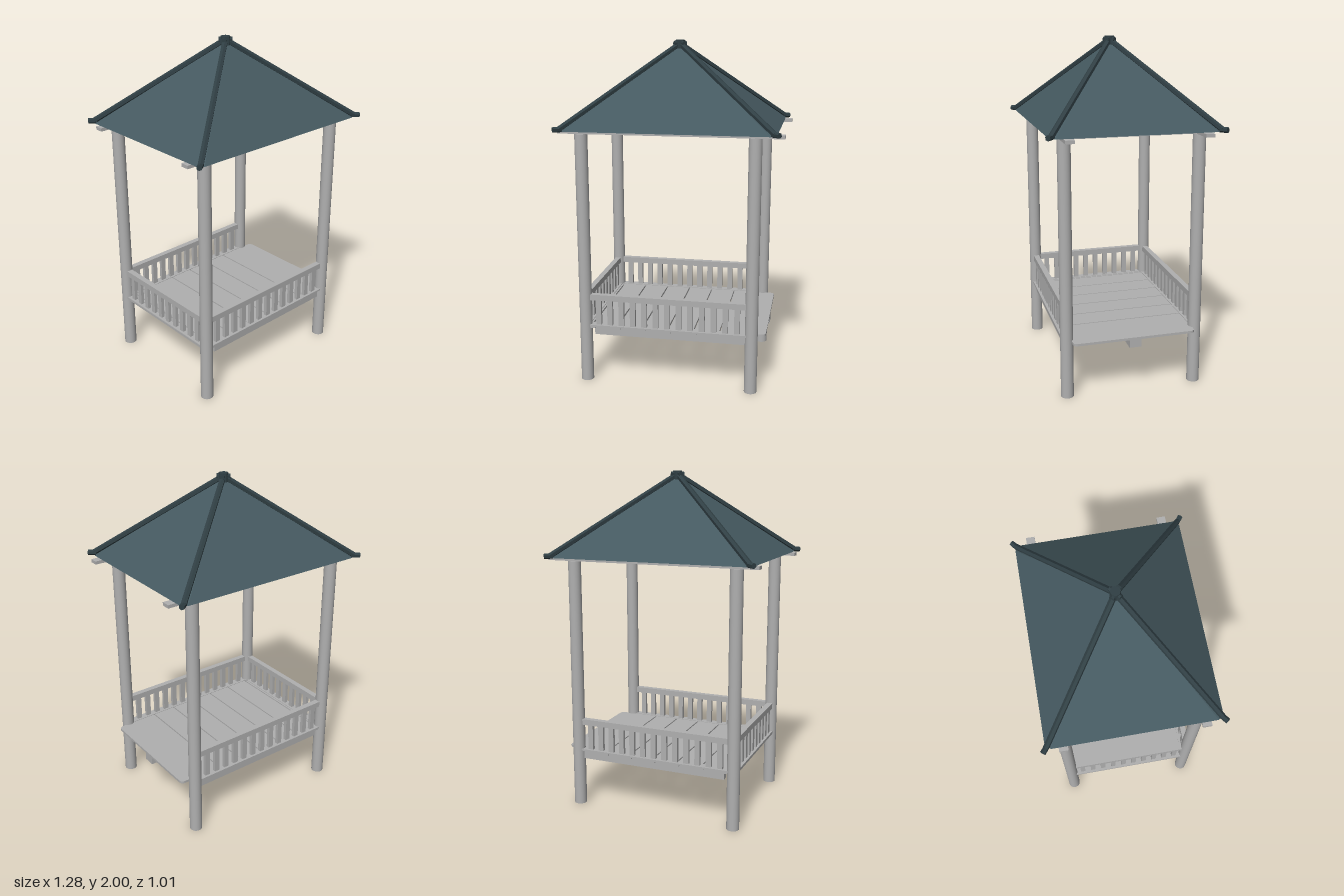
import * as THREE from 'three';

export function createModel() {
  const group = new THREE.Group();
  const wood = new THREE.MeshStandardMaterial({ color: 0xb0b0b0 });
  wood.name = 'grey wood';
  const slate = new THREE.MeshStandardMaterial({ color: 0x455960, side: THREE.DoubleSide });
  slate.name = 'slate roof';
  const trim = new THREE.MeshStandardMaterial({ color: 0x303f44, flatShading: true });
  trim.name = 'dark ridge trim';

  const add = (name, geometry, material) => {
    const mesh = new THREE.Mesh(geometry, material);
    mesh.name = name;
    group.add(mesh);
    return mesh;
  };
  // box given by its extents
  const box = (name, x0, x1, y0, y1, z0, z1) => {
    const mesh = add(name, new THREE.BoxGeometry(x1 - x0, y1 - y0, z1 - z0), wood);
    mesh.position.set((x0 + x1) / 2, (y0 + y1) / 2, (z0 + z1) / 2);
    return mesh;
  };
  // rod between two points
  const rod = (name, a, b, radius, sides) => {
    const dir = b.clone().sub(a);
    const mesh = add(name, new THREE.CylinderGeometry(radius, radius, dir.length(), sides), trim);
    mesh.position.copy(a).lerp(b, 0.5);
    mesh.quaternion.setFromUnitVectors(new THREE.Vector3(0, 1, 0), dir.normalize());
  };

  const left = -0.51, right = 0.475, side = 0.383;

  // posts and the beams they carry
  for (const x of [left, right]) {
    for (const z of [-side, side]) {
      add('post', new THREE.CylinderGeometry(0.037, 0.037, 1.49, 24), wood).position.set(x, 0.745, z);
    }
    box('crossBeam', x - 0.025, x + 0.025, 1.491, 1.508, -0.4, 0.4);
  }
  for (const z of [-side, side]) box('longBeam', -0.64, 0.635, 1.49, 1.509, z - 0.025, z + 0.025);

  // deck planks, the last one wide with rounded outer corners
  const joints = [-0.47, -0.318, -0.166, -0.014, 0.138, 0.29];
  box('plank', -0.52, joints[0] - 0.004, 0.336, 0.35, -0.345, 0.345);
  for (let i = 0; i < joints.length - 1; i++) {
    box('plank', joints[i] + 0.004, joints[i + 1] - 0.004, 0.336, 0.35, -0.36, 0.36);
  }
  const end = new THREE.Shape();
  end.moveTo(0.294, -0.36);
  end.lineTo(0.525, -0.36);
  end.quadraticCurveTo(0.555, -0.36, 0.555, -0.33);
  end.lineTo(0.555, 0.33);
  end.quadraticCurveTo(0.555, 0.36, 0.525, 0.36);
  end.lineTo(0.294, 0.36);
  const endPlank = add('endPlank', new THREE.ExtrudeGeometry(end, { depth: 0.014, bevelEnabled: false }), wood);
  endPlank.rotation.x = -Math.PI / 2;
  endPlank.position.y = 0.336;

  // joists under the deck
  box('middleJoist', -0.455, 0.555, 0.29, 0.336, -0.035, 0.035);
  for (const s of [-1, 1]) {
    const z = s * 0.37;
    box('sideJoist', -0.455, 0.44, 0.29, 0.338, z - 0.02, z + 0.02);
    for (const x of joints) box('cleat', x - 0.018, x + 0.018, 0.332, 0.345, s * 0.38 - 0.022, s * 0.38 + 0.022);
  }

  // long railings at front and back
  for (const z of [-side, side]) {
    box('topRail', left + 0.02, right - 0.02, 0.505, 0.54, z - 0.017, z + 0.017);
    box('bottomRail', left + 0.02, right - 0.02, 0.342, 0.353, z - 0.024, z + 0.024);
    for (let i = 0; i < 13; i++) {
      const x = -0.43 + i * 0.0685;
      box('baluster', x - 0.016, x + 0.016, 0.35, 0.507, z - 0.01, z + 0.01);
    }
  }
  // short railing on the closed end
  box('endTopRail', left - 0.017, left + 0.017, 0.505, 0.54, -0.37, 0.37);
  box('endBottomRail', left - 0.024, left + 0.024, 0.337, 0.353, -0.37, 0.37);
  for (let i = 0; i < 10; i++) {
    const z = -0.307 + i * 0.0682;
    box('endBaluster', left - 0.01, left + 0.01, 0.35, 0.507, z - 0.015, z + 0.015);
  }

  // hipped roof: four slopes with clipped corners, meeting at the apex
  const cx = -0.013, hx = 0.605, hz = 0.478, eave = 1.51, apex = 1.972, c = 0.03;
  const rim = [
    [-hx + c, hz], [hx - c, hz], [hx, hz - c], [hx, -hz + c],
    [hx - c, -hz], [-hx + c, -hz], [-hx, -hz + c], [-hx, hz - c],
  ];
  const points = [];
  rim.forEach(([x, z], i) => {
    const [nx, nz] = rim[(i + 1) % rim.length];
    points.push(cx + x, eave, z, cx + nx, eave, nz, cx, apex, 0);
  });
  const roof = new THREE.BufferGeometry();
  roof.setAttribute('position', new THREE.Float32BufferAttribute(points, 3));
  roof.computeVertexNormals();
  add('roof', roof, slate);

  // hip ridges with level ends, and the finial cap
  for (const sx of [-1, 1]) {
    for (const sz of [-1, 1]) {
      const at = (t, y) => new THREE.Vector3(cx + sx * hx * t, y, sz * hz * t);
      rod('hipRidge', at(0.02, apex - 0.002), at(0.985, eave + 0.012), 0.017, 6);
      rod('ridgeFoot', at(0.965, eave + 0.011), at(1.03, eave + 0.011), 0.016, 6);
      rod('ridgeHead', at(0, apex + 0.008), at(0.05, apex + 0.008), 0.015, 6);
    }
  }
  add('finialCap', new THREE.CylinderGeometry(0.028, 0.03, 0.05, 8), trim).position.set(cx, 1.975, 0);

  return group;
}
